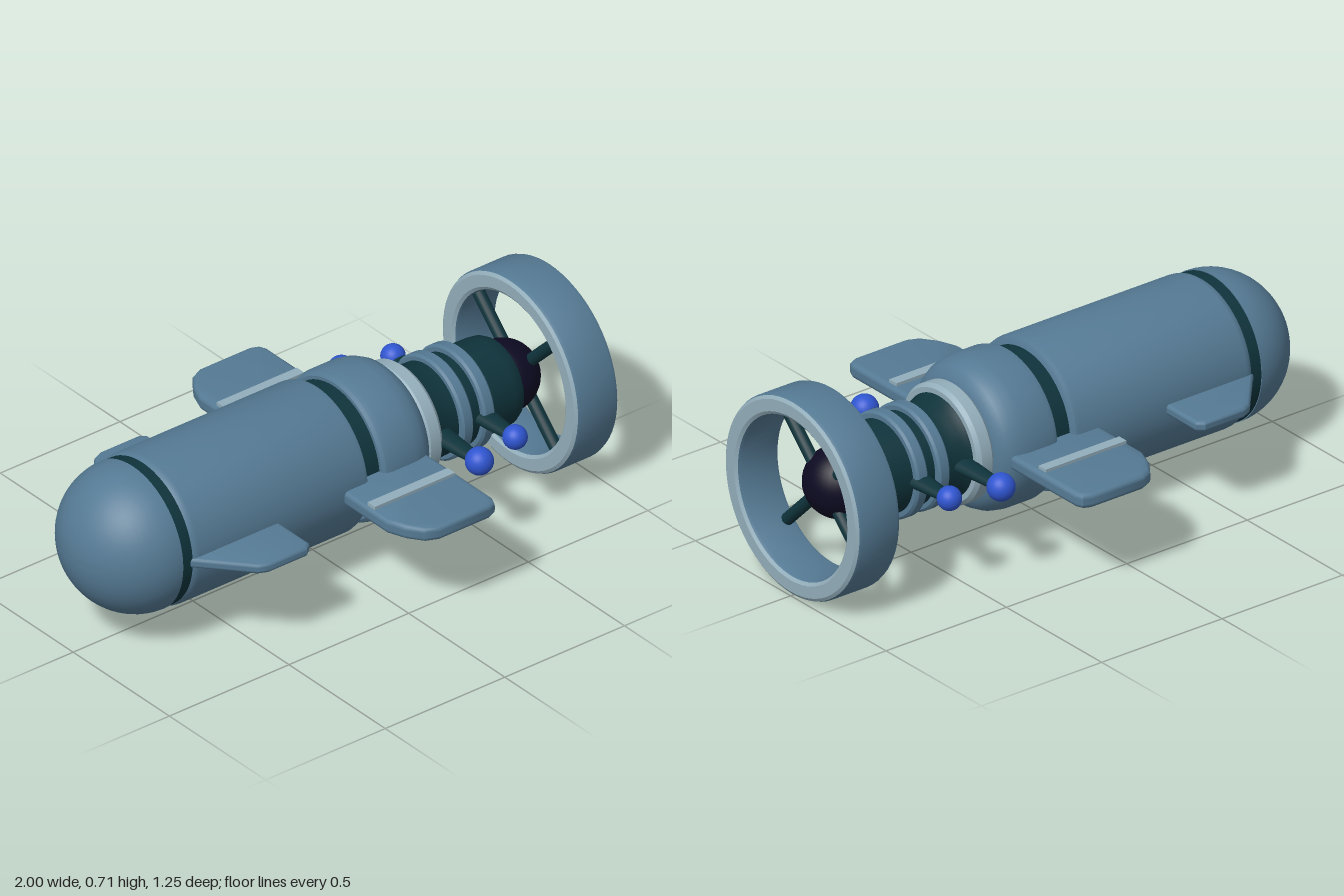
import * as THREE from 'three';
import { toCreasedNormals } from 'three/addons/utils/BufferGeometryUtils.js';

const AXIS_Y = 0.362;

function material(name, color) {
  const m = new THREE.MeshStandardMaterial({ color });
  m.name = name;
  return m;
}

export function createModel() {
  const steel = material('steel blue', 0x557a94);
  const pale = material('pale steel', 0x93aebb);
  const dark = material('dark teal', 0x0f333b);
  const black = material('near black', 0x0d0a22);
  const blue = material('bright blue', 0x2f55d0);

  const model = new THREE.Group();
  const ship = new THREE.Group();
  ship.name = 'ship';
  ship.position.y = AXIS_Y;
  model.add(ship);

  function add(name, geometry, mat, x = 0, y = 0, z = 0) {
    const mesh = new THREE.Mesh(geometry, mat);
    mesh.name = name;
    mesh.position.set(x, y, z);
    ship.add(mesh);
    return mesh;
  }

  // Turned part along x; profile points are [x, radius]
  function turned(name, profile, mat) {
    const points = profile.map(([x, r]) => new THREE.Vector2(r, x));
    const geometry = toCreasedNormals(new THREE.LatheGeometry(points, 64), 0.6);
    geometry.rotateZ(-Math.PI / 2);
    return add(name, geometry, mat);
  }

  // Nose dome
  const nose = [];
  for (let i = 0; i <= 16; i++) {
    const a = (i / 16) * Math.PI / 2;
    nose.push([-0.75 - 0.25 * Math.cos(a), 0.262 * Math.sin(a)]);
  }
  turned('nose', [...nose, [-0.75, 0]], steel);
  turned('noseBand', [[-0.76, 0], [-0.76, 0.259], [-0.7, 0.259], [-0.7, 0]], dark);

  // Hull sections
  turned('mainHull', [[-0.71, 0], [-0.71, 0.258], [-0.7, 0.265], [-0.685, 0.267],
    [0.005, 0.267], [0.02, 0.263], [0.028, 0.25], [0.028, 0]], steel);
  turned('hullBand', [[0.02, 0], [0.02, 0.238], [0.1, 0.238], [0.1, 0]], dark);
  turned('rearHull', [[0.09, 0], [0.09, 0.25], [0.1, 0.262], [0.12, 0.267], [0.22, 0.267],
    [0.26, 0.26], [0.29, 0.245], [0.31, 0.222], [0.32, 0.195], [0.32, 0]], steel);
  turned('collar', [[0.315, 0], [0.315, 0.198], [0.328, 0.21], [0.37, 0.21],
    [0.384, 0.198], [0.384, 0]], pale);

  // Engine neck, its rings and the thruster ball
  turned('neck', [[0.37, 0], [0.37, 0.185], [0.39, 0.178], [0.41, 0.168], [0.47, 0.164],
    [0.72, 0.16], [0.75, 0.156], [0.768, 0.146], [0.775, 0.13], [0.775, 0]], dark);
  for (const x of [0.505, 0.595]) {
    turned('neckRing', [[x - 0.024, 0.14], [x - 0.024, 0.178], [x - 0.016, 0.186],
      [x + 0.016, 0.186], [x + 0.024, 0.178], [x + 0.024, 0.14]], steel);
  }
  add('thrusterBall', new THREE.SphereGeometry(0.125, 32, 24), black, 0.795);

  // Tail hoop: outer and inner walls, with pale rims on both ends
  turned('hoopOuterWall', [[0.828, 0.351], [0.838, 0.355], [0.982, 0.355], [0.992, 0.351]], steel);
  turned('hoopInnerWall', [[0.992, 0.287], [0.982, 0.283], [0.838, 0.283], [0.828, 0.287]], steel);
  turned('hoopFrontRim', [[0.828, 0.287], [0.82, 0.298], [0.82, 0.34], [0.828, 0.351]], pale);
  turned('hoopBackRim', [[0.992, 0.351], [1, 0.34], [1, 0.298], [0.992, 0.287]], pale);

  // Diagonal spokes between the ball and the hoop
  for (let i = 0; i < 4; i++) {
    const a = Math.PI / 4 + i * Math.PI / 2;
    const spoke = add('spoke', new THREE.CylinderGeometry(0.022, 0.022, 0.22, 16), dark,
      0.855, 0.18 * Math.cos(a), 0.18 * Math.sin(a));
    spoke.rotation.x = a;
  }

  // Flat fin from an [x, z] outline, with rounded edges
  function fin(name, outline, side, thickness, bevel) {
    const shape = new THREE.Shape(outline.map(([x, z]) => new THREE.Vector2(x, side * z)));
    const depth = thickness - 2 * bevel;
    let geometry = new THREE.ExtrudeGeometry(shape, {
      depth, bevelThickness: bevel, bevelSize: bevel, bevelOffset: -bevel, bevelSegments: 4,
    });
    geometry.translate(0, 0, -depth / 2);
    geometry.rotateX(Math.PI / 2);
    add(name, toCreasedNormals(geometry, 0.6), steel);
  }

  for (const side of [1, -1]) {
    fin('wing', [[-0.08, 0.15], [-0.08, 0.485], [-0.055, 0.55], [-0.015, 0.605], [0.03, 0.625],
      [0.24, 0.625], [0.27, 0.612], [0.282, 0.585], [0.282, 0.15]], side, 0.054, 0.018);
    fin('frontFin', [[-0.84, 0.15], [-0.71, 0.265], [-0.57, 0.425], [-0.535, 0.44],
      [-0.375, 0.44], [-0.35, 0.42], [-0.35, 0.15]], side, 0.038, 0.013);

    // Raised strip on top of the wing
    add('wingStrip', new THREE.BoxGeometry(0.335, 0.014, 0.038), pale, 0.098, 0.031, side * 0.392);

    // Flattened, tapering arms with ball tips
    for (const [x, z, r] of [[0.41, 0.358, 0.048], [0.592, 0.317, 0.042]]) {
      const start = 0.12;
      const arm = add('sensorArm', new THREE.CylinderGeometry(0.025, 0.046, z - start, 20), dark,
        x, 0, side * (z + start) / 2);
      arm.rotation.x = side * Math.PI / 2;
      arm.scale.z = 0.6;
      add('sensorBall', new THREE.SphereGeometry(r, 24, 16), blue, x, 0, side * z);
    }
  }

  return model;
}
